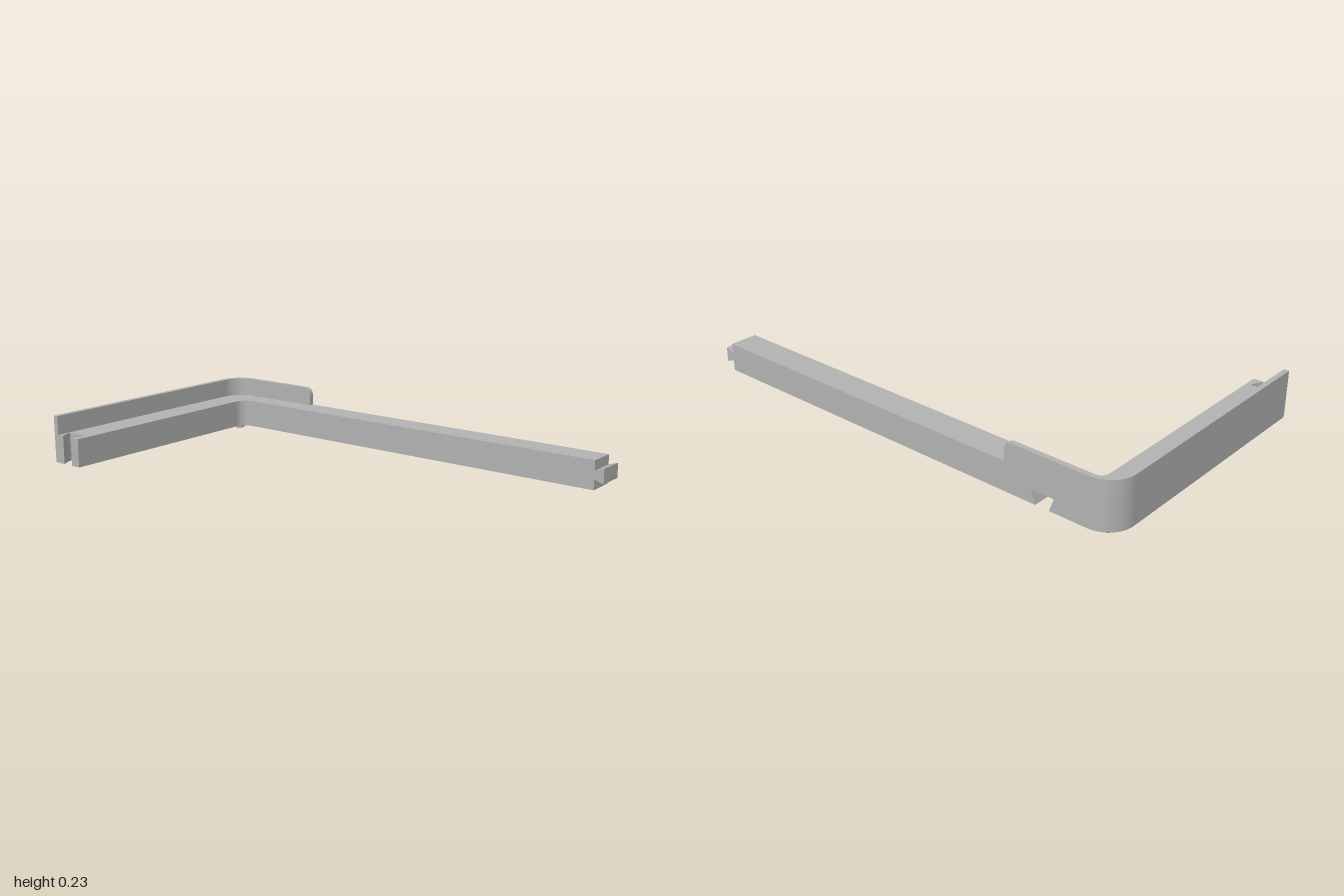
import * as THREE from 'three';
import { toCreasedNormals } from 'three/addons/utils/BufferGeometryUtils.js';

const LEFT = -1, BACK = -0.565, FRONT = 0.565;   // outer limits of the L
const ARM_X = -0.855, BAR_Z = -0.445, BAR_END = 0.96;
const BASE = 0.03, TOP = 0.15, LIP_TOP = 0.23, LIP = 0.022;
const NOTCH_X = -0.7, NOTCH_TOP = 0.085, NOTCH_DEPTH = 0.07, NOTCH_WIDE = 0.05, NOTCH_NARROW = 0.03;

const grey = new THREE.MeshStandardMaterial({ color: 0xb2b2b2 });
grey.name = 'plain grey';

function addMesh(group, name, geometry) {
  const mesh = new THREE.Mesh(toCreasedNormals(geometry, 0.5), grey);
  mesh.name = name;
  group.add(mesh);
}

// Floor-plan outline (x, -z) raised from y0 to y1
function raise(shape, y0, y1) {
  const g = new THREE.ExtrudeGeometry(shape, { depth: y1 - y0, bevelEnabled: false, curveSegments: 16 });
  return g.rotateX(-Math.PI / 2).translate(0, y0, 0);
}

// Elevation outline (x, y) carried from z0 to z1
function carry(shape, z0, z1) {
  const g = new THREE.ExtrudeGeometry(shape, { depth: z1 - z0, bevelEnabled: false, curveSegments: 12 });
  return g.translate(0, 0, z0);
}

const polygon = (points) => new THREE.Shape(points.map(([x, y]) => new THREE.Vector2(x, y)));

// L-shaped plan with a dovetail slot in the short arm's end
function bodyPlan(withNotch) {
  const s = new THREE.Shape();
  const to = (x, z) => s.lineTo(x, -z);
  s.moveTo(LEFT, -FRONT);
  to(-0.947, FRONT);
  to(-0.968, 0.525);
  to(-0.968, 0.51);
  to(-0.877, 0.51);
  to(-0.877, 0.525);
  to(-0.899, FRONT);
  to(ARM_X, FRONT);
  to(ARM_X, BAR_Z + 0.055);
  s.absarc(ARM_X + 0.055, -(BAR_Z + 0.055), 0.055, Math.PI, Math.PI / 2, true);
  to(BAR_END, BAR_Z);
  to(BAR_END, BACK);
  if (withNotch) {
    to(NOTCH_X + NOTCH_WIDE, BACK);
    to(NOTCH_X + NOTCH_WIDE, BACK + NOTCH_DEPTH);
    to(NOTCH_X - NOTCH_WIDE, BACK + NOTCH_DEPTH);
    to(NOTCH_X - NOTCH_WIDE, BACK);
  }
  s.absarc(LEFT + 0.11, -(BACK + 0.11), 0.11, Math.PI / 2, Math.PI, false);
  s.closePath();
  return s;
}

// Thin wall following the outside of the corner
function lipPlan(endX) {
  const s = new THREE.Shape();
  const cx = LEFT + 0.11, cy = -(BACK + 0.11);
  s.moveTo(LEFT, -FRONT);
  s.lineTo(LEFT + LIP, -FRONT);
  s.absarc(cx, cy, 0.11 - LIP, Math.PI, Math.PI / 2, true);
  s.lineTo(endX, -(BACK + LIP));
  s.lineTo(endX, -BACK);
  s.absarc(cx, cy, 0.11, Math.PI / 2, Math.PI, false);
  s.closePath();
  return s;
}

export function createModel() {
  const model = new THREE.Group();
  model.name = 'cornerBracket';

  // Main bar, with the blind notch in its lower layer
  addMesh(model, 'lowerBar', raise(bodyPlan(true), BASE, NOTCH_TOP));
  addMesh(model, 'upperBar', raise(bodyPlan(false), NOTCH_TOP, TOP));

  // Sloping cheeks that narrow the notch towards the bottom
  for (const side of [-1, 1]) {
    const outer = NOTCH_X + side * NOTCH_WIDE;
    const cheek = polygon([[outer, NOTCH_TOP], [outer, BASE], [NOTCH_X + side * NOTCH_NARROW, BASE]]);
    addMesh(model, side < 0 ? 'rightNotchCheek' : 'leftNotchCheek', carry(cheek, BACK, BACK + NOTCH_DEPTH));
  }

  // Raised lip and its rounded end
  const joinX = -0.57, endX = -0.53, r = 0.03;
  addMesh(model, 'lip', raise(lipPlan(joinX), TOP, LIP_TOP));
  const tab = new THREE.Shape();
  tab.moveTo(joinX, TOP);
  tab.lineTo(endX, TOP);
  tab.absarc(endX - r, LIP_TOP - r, r, 0, Math.PI / 2, false);
  tab.lineTo(joinX, LIP_TOP);
  tab.closePath();
  addMesh(model, 'lipEnd', carry(tab, BACK, BACK + LIP));

  // Dovetail tongue on the long arm
  const tongue = polygon([[BAR_END, 0.073], [1, 0.06], [1, 0.122], [BAR_END, 0.109]]);
  addMesh(model, 'dovetailTongue', carry(tongue, BACK, BAR_Z));

  // Locating pin under the corner
  const profile = [[0, 0], [0.018, 0], [0.022, 0.004], [0.022, BASE + 0.005]];
  const pin = new THREE.LatheGeometry(profile.map(([x, y]) => new THREE.Vector2(x, y)), 32);
  addMesh(model, 'locatingPin', pin.translate(-0.923, 0, -0.49));

  return model;
}
